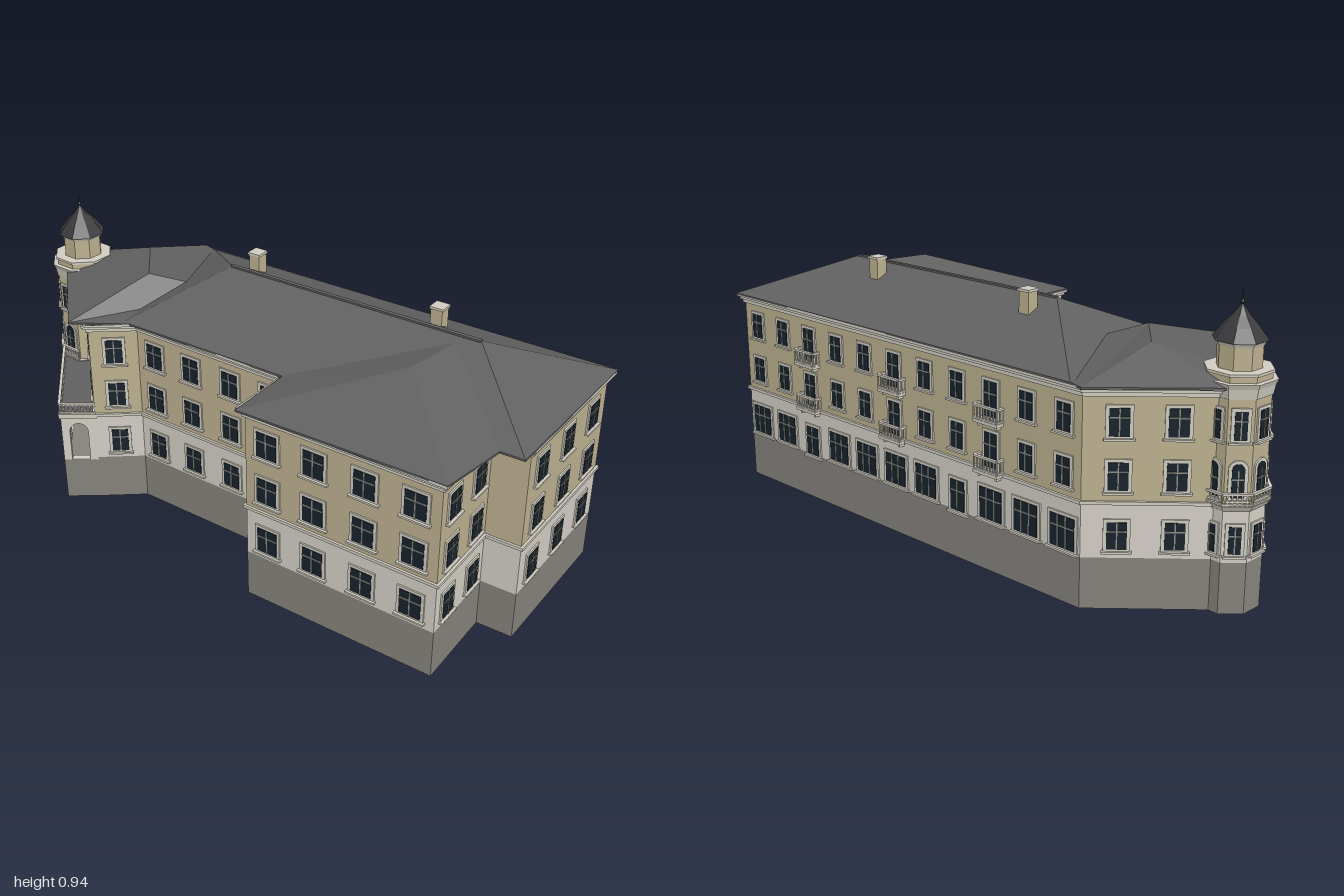
import * as THREE from 'three';

const mat = (color) => new THREE.MeshStandardMaterial({ color, side: THREE.DoubleSide, flatShading: true });
const M = {
  base: mat(0x85827c), white: mat(0xd2cec5), tan: mat(0xbcb08f), trim: mat(0xcfcbbf),
  roof: mat(0x606060), dark: mat(0x3a3a3c), glass: mat(0x18222b), bar: mat(0x8f9088),
};

function add(parent, name, geo, m, x = 0, y = 0, z = 0) {
  const mesh = new THREE.Mesh(geo, m);
  mesh.name = name;
  mesh.position.set(x, y, z);
  parent.add(mesh);
  return mesh;
}
const box = (parent, name, m, w, h, d, x = 0, y = 0, z = 0) =>
  add(parent, name, new THREE.BoxGeometry(w, h, d), m, x, y, z);

// Polygons [x,y,z] fanned into triangles
function faces(polys) {
  const v = [];
  for (const p of polys) for (let i = 1; i < p.length - 1; i++) v.push(...p[0], ...p[i], ...p[i + 1]);
  const g = new THREE.BufferGeometry();
  g.setAttribute('position', new THREE.Float32BufferAttribute(v, 3));
  g.computeVertexNormals();
  return g;
}

// Moves a plan outline outwards with mitred corners
function offset(poly, o) {
  const n = poly.length;
  const normal = (a, b) => {
    const l = Math.hypot(b[0] - a[0], b[1] - a[1]);
    return [(a[1] - b[1]) / l, (b[0] - a[0]) / l];
  };
  return poly.map((p, i) => {
    const a = normal(poly[(i + n - 1) % n], p), b = normal(p, poly[(i + 1) % n]);
    const k = o / Math.max(0.4, 1 + a[0] * b[0] + a[1] * b[1]);
    return [p[0] + (a[0] + b[0]) * k, p[1] + (a[1] + b[1]) * k];
  });
}

// Sweeps a profile of [offset, height] round a plan outline
function sweep(poly, profile) {
  const quads = [];
  const rings = profile.map(([o, y]) => offset(poly, o).map(([x, z]) => [x, y, z]));
  for (let r = 0; r < rings.length - 1; r++)
    poly.forEach((_, i) => {
      const j = (i + 1) % poly.length;
      quads.push([rings[r][i], rings[r][j], rings[r + 1][j], rings[r + 1][i]]);
    });
  return faces(quads);
}

// Flat slab from a plan outline
function slab(poly, y, h) {
  const s = new THREE.Shape(poly.map(([x, z]) => new THREE.Vector2(x, -z)));
  return new THREE.ExtrudeGeometry(s, { depth: h, bevelEnabled: false }).rotateX(-Math.PI / 2).translate(0, y, 0);
}

// Group on wall p-q, its local z facing out
function onWall(parent, name, p, q, t, y) {
  const g = new THREE.Group();
  g.name = name;
  g.position.set(p[0] + (q[0] - p[0]) * t, y, p[1] + (q[1] - p[1]) * t);
  g.rotation.y = Math.atan2(p[1] - q[1], q[0] - p[0]);
  parent.add(g);
  return g;
}

function windowUnit(g, w, h, panes = 2, arched = false) {
  box(g, 'windowFrame', M.trim, w + 0.02, h + 0.018, 0.01);
  if (arched) {
    for (const [r, d, m] of [[w / 2 + 0.01, 0.01, M.trim], [w / 2, 0.014, M.glass]])
      add(g, 'windowArch', new THREE.CylinderGeometry(r, r, d, 12, 1, false, Math.PI / 2, Math.PI).rotateX(Math.PI / 2), m, 0, h / 2, 0);
  }
  box(g, 'windowGlass', M.glass, w, h, 0.014);
  for (let i = 1; i < panes; i++) box(g, 'mullion', M.bar, 0.004, h, 0.018, -w / 2 + (w * i) / panes);
  box(g, 'transom', M.bar, w, 0.004, 0.018, 0, h * 0.17);
  box(g, 'windowSill', M.trim, w + 0.03, 0.006, 0.026, 0, -h / 2 - 0.009);
}

// Balustrade along a path of plan points
function rail(parent, pts, y, h) {
  for (let i = 0; i < pts.length - 1; i++) {
    const [p, q] = [pts[i], pts[i + 1]];
    const len = Math.hypot(q[0] - p[0], q[1] - p[1]), n = Math.max(2, Math.round(len / 0.014));
    const g = onWall(parent, 'balustrade', p, q, 0.5, y);
    box(g, 'handrail', M.trim, len, 0.007, 0.01, 0, h);
    box(g, 'bottomRail', M.trim, len, 0.005, 0.008, 0, 0.005);
    for (let k = 0; k <= n; k++) box(g, 'baluster', M.trim, 0.004, h, 0.004, -len / 2 + (len * k) / n, h / 2);
  }
}

// Wall with a row of arched openings
function arcade(parent, p, q, n, w) {
  const len = Math.hypot(q[0] - p[0], q[1] - p[1]);
  const s = new THREE.Shape([[0, 0.15], [len, 0.15], [len, 0.325], [0, 0.325]].map((a) => new THREE.Vector2(...a)));
  for (let i = 0; i < n; i++) {
    const c = (len * (i + 0.5)) / n, hole = new THREE.Path();
    hole.moveTo(c - w / 2, 0.152).lineTo(c + w / 2, 0.152).lineTo(c + w / 2, 0.295 - w / 2);
    hole.absarc(c, 0.295 - w / 2, w / 2, 0, Math.PI, false);
    hole.closePath();
    s.holes.push(hole);
  }
  const g = onWall(parent, 'arcade', p, q, 0, 0);
  add(g, 'arcadeWall', new THREE.ExtrudeGeometry(s, { depth: 0.02, bevelEnabled: false, curveSegments: 10 }), M.white, 0, 0, -0.02);
}

export function createModel() {
  const model = new THREE.Group();
  model.name = 'cornerBuilding';

  // Wall outline as [x, z]
  const SE = [0.495, 0.87], NE = [0.225, -0.665], K = [-0.097, -0.919], WC = [-0.435, -0.49], J = [-0.315, -0.385];
  const I = [-0.215, 0.215], WN = [-0.43, 0.255], WS = [-0.315, 0.9], IN = [-0.035, 0.845], SW = [-0.012, 0.96];
  const plan = [SE, NE, K, WC, J, I, WN, WS, IN, SW];
  const bands = [['plinth', 0, 0.16, M.base], ['groundFloorWall', 0.16, 0.33, M.white], ['upperWall', 0.33, 0.66, M.tan]];
  for (const [name, a, b, m] of bands) add(model, name, sweep(plan, [[0, a], [0, b]]), m);
  add(model, 'stringCourse', sweep(plan, [[0, 0.325], [0.008, 0.325], [0.008, 0.335], [0, 0.335]]), M.trim);
  add(model, 'cornice', sweep(plan, [[0, 0.645], [0.007, 0.645], [0.007, 0.658], [0.014, 0.658], [0.014, 0.667], [0.02, 0.667], [0.02, 0.676]]), M.trim);

  // Windows in three rows on each wall
  const rows = [0.23, 0.41, 0.57];
  const walls = [
    [SW, SE, [0.155, 0.49, 0.825], 0.058], [WS, IN, [0.24, 0.76], 0.058], [WN, WS, [0.12, 0.37, 0.63, 0.88], 0.07],
    [I, WN, [0.5], 0.058], [J, I, [0.12, 0.37, 0.63, 0.88], 0.06], [WC, J, [0.5], 0.055],
    [K, WC, [0.36, 0.6, 0.84], 0.06], [NE, K, [0.25, 0.65], 0.058],
  ];
  for (const [p, q, cols, w] of walls) for (const t of cols) for (const y of rows)
    windowUnit(onWall(model, 'window', p, q, t, y), w, 0.083);

  // Long street front with shopfronts and balconies
  for (let i = 0; i < 11; i++) {
    const t = 0.045 + i * 0.0914, door = i === 2 || i === 7, balcony = i % 3 === 2;
    windowUnit(onWall(model, door ? 'streetDoor' : 'shopWindow', SE, NE, t, door ? 0.212 : 0.222), door ? 0.06 : 0.092, 0.1, door ? 2 : 3);
    for (const y of [0.41, 0.57]) {
      const h = balcony ? 0.11 : 0.083;
      windowUnit(onWall(model, 'window', SE, NE, t, y - (h - 0.083) / 2), 0.05, h);
      if (!balcony) continue;
      const g = onWall(model, 'balcony', SE, NE, t, y - 0.082);
      box(g, 'balconySlab', M.trim, 0.1, 0.01, 0.03, 0, 0, 0.015);
      for (const s of [-1, 1]) box(g, 'balconyBracket', M.trim, 0.008, 0.014, 0.02, s * 0.035, -0.01, 0.01);
      rail(g, [[-0.047, 0], [-0.047, 0.027], [0.047, 0.027], [0.047, 0]], 0.004, 0.045);
    }
  }

  // Arcaded porch with a terrace
  const P0 = [-0.255, -0.905], P1 = [-0.52, -0.57], P2 = [-0.435, -0.49], P3 = [-0.17, -0.825];
  const porch = [P0, P1, P2, P3];
  add(model, 'porchPlinth', sweep(porch, [[0, 0], [0, 0.15]]), M.base);
  add(model, 'porchFloor', slab(porch, 0.145, 0.006), M.base);
  arcade(model, P0, P1, 3, 0.1);
  arcade(model, P1, P2, 1, 0.062);
  add(model, 'terraceFloor', slab(porch, 0.32, 0.012), M.roof);
  add(model, 'terraceEdge', sweep(porch, [[0, 0.318], [0.006, 0.318], [0.006, 0.335], [0, 0.335]]), M.trim);
  rail(model, [P0, P1, P2], 0.333, 0.038);

  // Main roof, front-left wing roof and corner wing roof
  const E = 0.678, top = 0.812;
  const e = (x, z) => [x, E, z];
  const rSE = e(0.52, 0.886), rNE = e(0.243, -0.632), rNW = e(-0.345, -0.41), rSW = e(-0.085, 0.99);
  const ridgeN = [0, top, -0.267], ridgeS = [0.164, top, 0.632];
  add(model, 'mainRoof', faces([[rSE, rNE, ridgeN, ridgeS], [rNE, rNW, ridgeN], [rNW, rSW, ridgeS, ridgeN], [rSW, rSE, ridgeS]]), M.roof);
  const w1 = e(-0.465, 0.25), w2 = e(-0.33, 0.923), w3 = e(-0.1, 0.915), w4 = e(-0.23, 0.205);
  const p1 = [-0.07, 0.796, 0.575], p2 = [0.127, 0.799, 0.57];
  add(model, 'wingRoof', faces([[w1, w2, p1], [w2, w3, p2, p1], [w4, w1, p1, p2]]), M.roof);
  const t1 = e(-0.48, -0.53), t2 = e(-0.235, -0.875), t3 = e(-0.08, -0.94), t4 = e(0.25, -0.685), t5 = e(-0.345, -0.385);
  const s1 = e(0.05, -0.33), r1 = [-0.16, 0.757, -0.505], r2 = [-0.02, 0.757, -0.67];
  add(model, 'cornerRoof', faces([[t1, r1, r2, t2], [t2, r2, t3], [t3, r2, t4], [t4, r2, r1, s1], [t1, t5, s1, r1]]), M.roof);
  const eaves = [rSE, rNE, t4, t3, t2, t1, t5, w4, w1, w2, w3, rSW].map(([x, , z]) => [x, z]);
  add(model, 'eaves', slab(eaves, 0.672, 0.006), M.roof);
  const cap = box(model, 'ridgeCap', M.roof, 0.014, 0.006, 0.914, 0.082, top, 0.1825);
  cap.rotation.y = Math.atan2(0.164, 0.899);

  // Chimneys
  for (const [x, z] of [[0.085, -0.235], [0.205, 0.44]]) {
    const g = new THREE.Group();
    g.name = 'chimney';
    g.position.set(x, 0.8, z);
    g.rotation.y = 0.18;
    model.add(g);
    box(g, 'chimneyStack', M.tan, 0.04, 0.09, 0.04, 0, -0.005);
    box(g, 'chimneyCap', M.trim, 0.047, 0.008, 0.047, 0, 0.042);
  }

  // Octagonal corner tower
  const tower = new THREE.Group(), facing = Math.atan2(-0.12, -0.99), start = facing - Math.PI / 8;
  tower.name = 'cornerTower';
  tower.position.set(-0.155, 0, -0.88);
  model.add(tower);
  const ring = (name, r0, r1, y0, y1, m, open = false) =>
    add(tower, name, new THREE.CylinderGeometry(r1, r0, y1 - y0, 8, 1, open, start), m, 0, (y0 + y1) / 2, 0);
  for (const [name, a, b, m] of bands) ring(name, 0.097, 0.097, a, b, m, true);
  ring('towerBalconySlab', 0.1, 0.112, 0.318, 0.336, M.trim);
  ring('towerLowerCornice', 0.1, 0.106, 0.645, 0.675, M.trim);
  ring('towerUpperCornice', 0.106, 0.113, 0.675, 0.69, M.trim);
  ring('towerParapet', 0.096, 0.096, 0.69, 0.708, M.tan);
  ring('parapetCap', 0.101, 0.101, 0.708, 0.716, M.trim);
  ring('turretDrum', 0.066, 0.066, 0.716, 0.785, M.tan);
  ring('turretCornice', 0.068, 0.076, 0.782, 0.797, M.trim);
  add(tower, 'turretRoof', new THREE.LatheGeometry(
    [[0.081, 0.795], [0.052, 0.832], [0.026, 0.86], [0.008, 0.884], [0.003, 0.89], [0.007, 0.897], [0.003, 0.904], [0, 0.94]]
      .map((a) => new THREE.Vector2(...a)), 8, start), M.dark);
  const corner = (k, r) => [Math.sin(start + (k * Math.PI) / 4) * r, Math.cos(start + (k * Math.PI) / 4) * r];
  for (let k = -2; k <= 2; k++) {
    const p = corner(k, 0.097), q = corner(k + 1, 0.097);
    rows.forEach((y, i) => windowUnit(onWall(tower, 'towerWindow', p, q, 0.5, y - (i === 1 ? 0.01 : 0)), 0.036, 0.083, 2, i === 1));
    rail(tower, [corner(k, 0.109), corner(k + 1, 0.109)], 0.336, 0.036);
  }
  return model;
}
